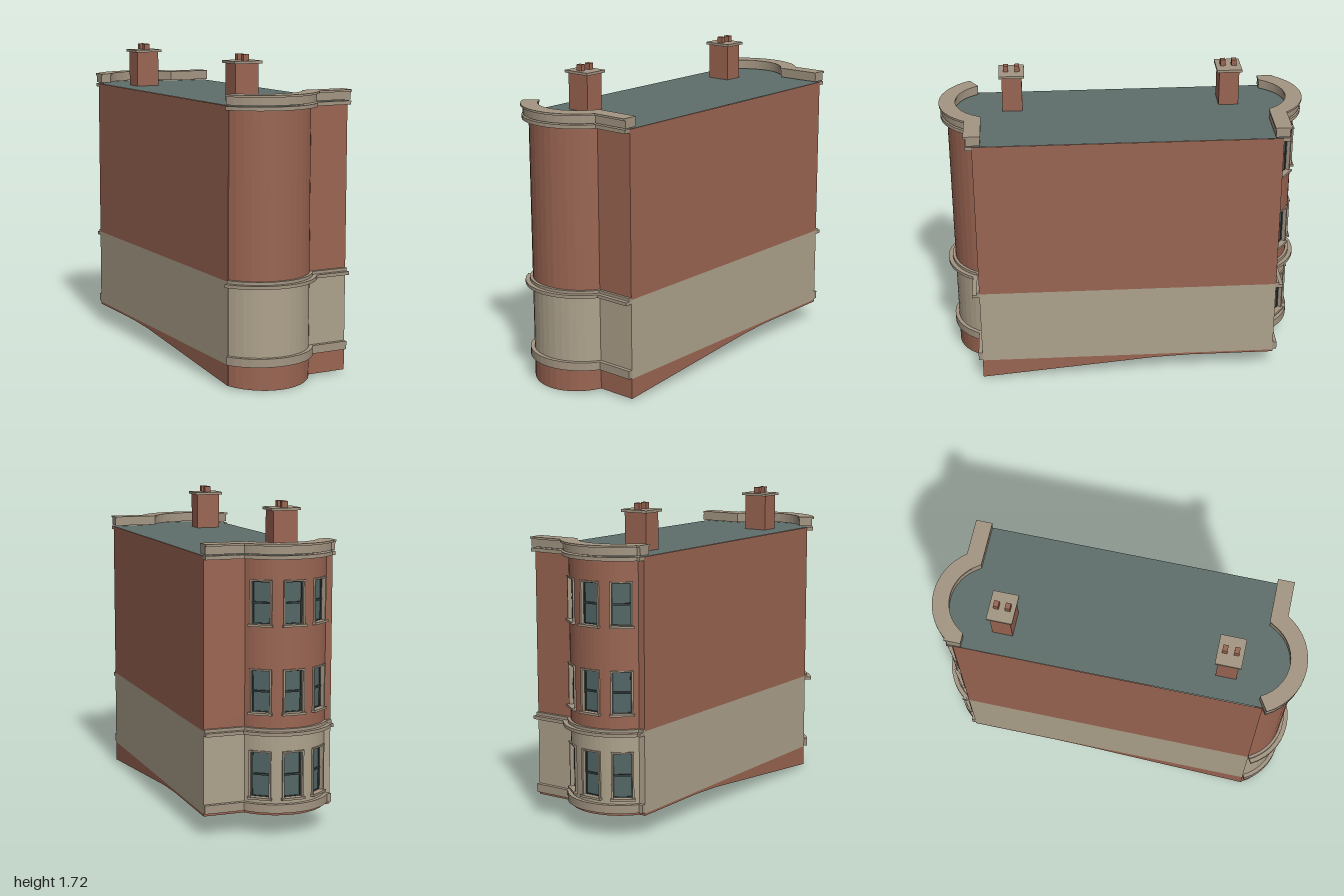
import * as THREE from 'three';

const mat = (name, color, side = THREE.FrontSide) => {
  const m = new THREE.MeshStandardMaterial({ color, side });
  m.name = name;
  return m;
};

// Plan outline in the building's own frame
const HALF_W = 0.355, HALF_D = 0.83, ANGLE = 0.136;
const makeBay = (u0, u1, sag, segs, sign) => {
  const half = (u1 - u0) / 2, r = (half * half + sag * sag) / (2 * sag);
  return { cu: (u0 + u1) / 2, cv: HALF_D + sag - r, r, span: Math.asin(half / r), segs, sign };
};
const frontBay = makeBay(-0.352, 0.132, 0.145, 14, 1);
const rearBay = makeBay(-0.32, 0.13, 0.12, 18, -1);

// Facade line from -u to +u: bow bay followed by a flat strip
function facade(bay) {
  const pts = [];
  if (bay.sign < 0) pts.push([-HALF_W, -HALF_D]);
  for (let i = 0; i <= bay.segs; i++) {
    const t = -bay.span + (2 * bay.span * i) / bay.segs;
    pts.push([bay.cu + bay.r * Math.sin(t), bay.sign * (bay.cv + bay.r * Math.cos(t))]);
  }
  pts.push([HALF_W, bay.sign * HALF_D]);
  return pts;
}

// Mitred offset of a facade line, positive is outward
function offset(pts, d, sign) {
  const normal = (a, b) => {
    const x = b[0] - a[0], y = b[1] - a[1], l = Math.hypot(x, y);
    return [(-y / l) * sign, (x / l) * sign];
  };
  return pts.map((p, i) => {
    const n1 = i ? normal(pts[i - 1], p) : normal(p, pts[1]);
    const n2 = i < pts.length - 1 ? normal(p, pts[i + 1]) : n1;
    const k = d / (1 + n1[0] * n2[0] + n1[1] * n2[1]);
    return [p[0] + (n1[0] + n2[0]) * k, p[1] + (n1[1] + n2[1]) * k];
  });
}

const toShape = (pts) => new THREE.Shape(pts.map((p) => new THREE.Vector2(p[0], p[1])));

// Sloping ground line under the building
function ground(v) {
  if (v < -0.35) return 0.113;
  if (v < -0.15) return 0.113 - (0.009 * (v + 0.35)) / 0.2;
  return Math.max(0, 0.104 * (1 - (v + 0.15) / 1.125));
}

// Vertical wall along a closed plan, in rows, leaving window holes
function wallGeometry(loop, rows, isHole) {
  const pos = [];
  loop.forEach((a, i) => {
    const b = loop[(i + 1) % loop.length];
    for (let r = 0; r < rows.length - 1; r++) {
      if (isHole && isHole(a, b, (rows[r](0) + rows[r + 1](0)) / 2)) continue;
      const A = [a[0], rows[r](a[1]), a[1]], B = [b[0], rows[r](b[1]), b[1]];
      const C = [b[0], rows[r + 1](b[1]), b[1]], D = [a[0], rows[r + 1](a[1]), a[1]];
      pos.push(...A, ...B, ...C, ...A, ...C, ...D);
    }
  });
  const g = new THREE.BufferGeometry();
  g.setAttribute('position', new THREE.Float32BufferAttribute(pos, 3));
  g.computeVertexNormals();
  return g;
}

export function createModel() {
  const brick = mat('brick', 0x9a6552, THREE.DoubleSide);
  const stone = mat('stone', 0xaea28c, THREE.DoubleSide);
  const trim = mat('stone trim', 0xa39582);
  const slate = mat('roof slate', 0x5e6e6a, THREE.DoubleSide);
  const glass = mat('window glass', 0x526665);
  const sash = mat('sash frame', 0x343d3c);

  const model = new THREE.Group();
  model.name = 'townhouse';
  const body = new THREE.Group();
  body.name = 'building';
  body.rotation.y = -ANGLE;
  model.add(body);

  const add = (parent, name, geo, material, x = 0, y = 0, z = 0) => {
    const m = new THREE.Mesh(geo, material);
    m.name = name;
    m.position.set(x, y, z);
    parent.add(m);
    return m;
  };
  const box = (parent, name, w, h, d, material, x, y, z) =>
    add(parent, name, new THREE.BoxGeometry(w, h, d), material, x, y, z);

  const front = facade(frontBay), rear = facade(rearBay);
  const rearBack = [...rear].reverse();
  const loop = [...front, [HALF_W, -0.15], [HALF_W, -0.35], ...rearBack, [-HALF_W, -0.35], [-HALF_W, -0.15], [-HALF_W, HALF_D]];

  // Window layout on the rear bay
  const floors = [[0.2, 0.45], [0.65, 0.88], [1.11, 1.34]];
  const step = (2 * rearBay.span) / rearBay.segs;
  const halfAngle = 2 * step, bayAngles = [-6 * step, 0, 6 * step];
  const isHole = (a, b, y) => {
    const u = (a[0] + b[0]) / 2, v = (a[1] + b[1]) / 2;
    if (v > -HALF_D - 0.005 || !floors.some(([lo, hi]) => y > lo && y < hi)) return false;
    const t = Math.atan2(u - rearBay.cu, -v - rearBay.cv);
    return bayAngles.some((c) => Math.abs(t - c) < halfAngle);
  };
  const levels = (...ys) => ys.map((y) => () => y);

  // Walls, base, roof and underside
  add(body, 'brickBase', wallGeometry(loop, [ground, () => 0.125]), brick);
  add(body, 'stoneGroundFloor', wallGeometry(loop, levels(0.125, 0.2, 0.45, 0.565), isHole), stone);
  add(body, 'brickUpperWalls', wallGeometry(loop, levels(0.565, 0.65, 0.88, 1.11, 1.34, 1.47), isHole), brick);

  const roof = new THREE.ShapeGeometry(toShape([...front, ...rearBack]));
  add(body, 'roof', roof.rotateX(Math.PI / 2), slate, 0, 1.471, 0);

  const under = (name, pts) => {
    const g = new THREE.ShapeGeometry(toShape(pts)).rotateX(Math.PI / 2);
    const p = g.attributes.position;
    for (let i = 0; i < p.count; i++) p.setY(i, ground(p.getZ(i)));
    g.computeVertexNormals();
    add(body, name, g, brick);
  };
  under('rearUnderside', [[HALF_W, -0.35], ...rearBack, [-HALF_W, -0.35]]);
  under('middleUnderside', [[HALF_W, -0.15], [HALF_W, -0.35], [-HALF_W, -0.35], [-HALF_W, -0.15]]);
  under('slopingUnderside', [[HALF_W, -0.15], [-HALF_W, -0.15], [-HALF_W, HALF_D]]);

  // Moulded bands and parapets on both facades: name, bottom, top, outer, inner
  const bands = [
    ['plinthBand', 0.13, 0.175, 0.022, -0.002],
    ['floorBand', 0.542, 0.56, 0.04, -0.002],
    ['floorBandLip', 0.56, 0.576, 0.016, -0.002],
    ['corniceBand', 1.452, 1.472, 0.036, -0.002],
    ['parapet', 1.478, 1.52, 0.03, -0.045],
    ['parapetCap', 1.52, 1.531, 0.042, -0.048],
  ];
  for (const [line, sign, side] of [[front, 1, 'front'], [rear, -1, 'rear']]) {
    for (const [name, y0, y1, out, inn] of bands) {
      const pts = [...offset(line, out, sign), ...offset(line, inn, sign).reverse()];
      const g = new THREE.ExtrudeGeometry(toShape(pts), { depth: y1 - y0, bevelEnabled: false });
      add(body, side + name[0].toUpperCase() + name.slice(1), g.rotateX(Math.PI / 2), trim, 0, y1, 0);
    }
  }

  // Recessed sash windows with surrounds and sills
  const w = 2 * rearBay.r * Math.sin(halfAngle), dist = rearBay.r * Math.cos(halfAngle);
  for (const [lo, hi] of floors) {
    for (const t of bayAngles) {
      const win = new THREE.Group(), h = hi - lo;
      win.name = 'window';
      win.position.set(rearBay.cu + dist * Math.sin(t), (lo + hi) / 2, -(rearBay.cv + dist * Math.cos(t)));
      win.rotation.y = Math.PI - t;
      body.add(win);
      box(win, 'glass', w, h, 0.005, glass, 0, 0, -0.022);
      for (const s of [-1, 1]) {
        box(win, 'jamb', 0.01, h, 0.034, trim, s * (w / 2 - 0.004), 0, -0.008);
        box(win, 'sashStile', 0.007, h, 0.008, sash, s * (w / 2 - 0.012), 0, -0.017);
        box(win, 'sashRail', w, 0.009, 0.008, sash, 0, s * (h / 2 - 0.006), -0.017);
      }
      box(win, 'meetingRail', w, 0.01, 0.01, sash, 0, 0, -0.016);
      box(win, 'lintel', w, 0.008, 0.036, trim, 0, h / 2, -0.005);
      box(win, 'sill', w + 0.012, 0.012, 0.044, trim, 0, -h / 2, -0.002);
    }
  }

  // Chimneys with caps and paired pots
  for (const [x, z] of [[-0.24, 0.585], [-0.085, -0.605]]) {
    const c = new THREE.Group();
    c.name = 'chimney';
    c.position.set(x, 1.47, z);
    c.rotation.y = -ANGLE;
    model.add(c);
    box(c, 'stack', 0.136, 0.2, 0.11, brick, 0, 0.1, 0);
    box(c, 'chimneyCap', 0.164, 0.014, 0.138, trim, 0, 0.206, 0);
    for (const s of [-1, 1]) box(c, 'chimneyPot', 0.034, 0.035, 0.027, brick, 0, 0.229, s * 0.031);
  }
  return model;
}
